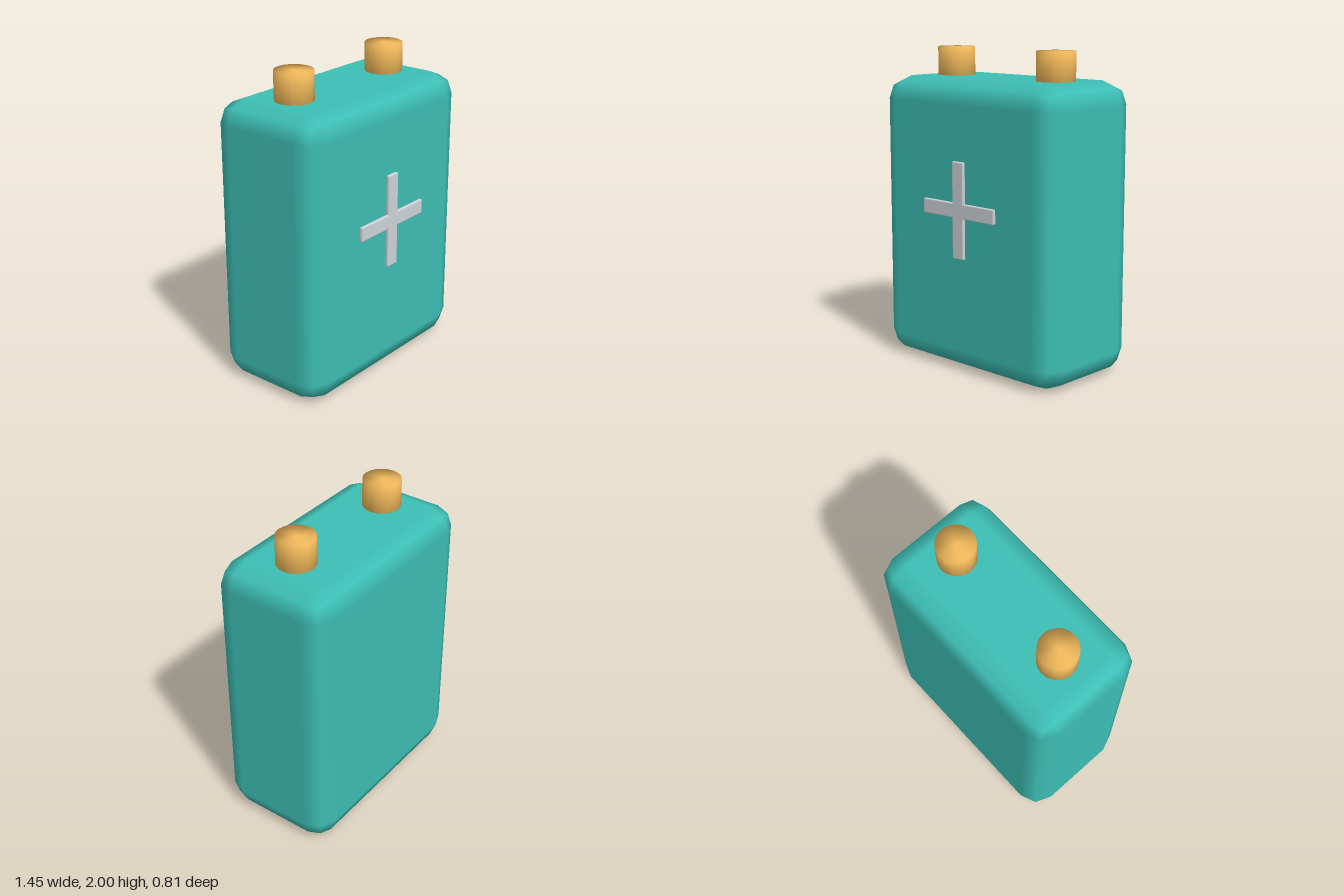
import * as THREE from 'three';
import { mergeVertices } from 'three/addons/utils/BufferGeometryUtils.js';
import { RoundedBoxGeometry } from 'three/addons/geometries/RoundedBoxGeometry.js';

const teal = new THREE.MeshStandardMaterial({ color: 0x3dbfb5 });
const brass = new THREE.MeshStandardMaterial({ color: 0xf5bc5c });
const silver = new THREE.MeshStandardMaterial({ color: 0xd0d5da });

function addPart(parent, name, geometry, material, x, y, z) {
  const mesh = new THREE.Mesh(geometry, material);
  mesh.name = name;
  mesh.position.set(x, y, z);
  parent.add(mesh);
  return mesh;
}

// Cylinder with its caps welded to the wall, so shading runs softly over the rims
function softCylinder(radius, height, sides) {
  const geometry = new THREE.CylinderGeometry(radius, radius, height, sides);
  geometry.deleteAttribute('normal');
  geometry.deleteAttribute('uv');
  const welded = mergeVertices(geometry);
  welded.computeVertexNormals();
  return welded;
}

export function createModel() {
  const model = new THREE.Group();
  model.name = 'battery';

  // Case with two facets round each edge
  addPart(model, 'case', new RoundedBoxGeometry(1.45, 1.82, 0.786, 1, 0.145), teal, 0, 0.91, -0.014);

  // Pair of terminals on the top
  const terminal = softCylinder(0.12, 0.19, 20);
  for (const side of [-1, 1]) {
    addPart(model, side > 0 ? 'leftTerminal' : 'rightTerminal', terminal, brass, side * 0.423, 1.905, -0.014);
  }

  // Plus sign on the front, from two crossed bars
  const plus = new THREE.Group();
  plus.name = 'plusSign';
  plus.position.set(0, 1.033, 0.391);
  model.add(plus);
  const bar = new RoundedBoxGeometry(0.604, 0.094, 0.024, 1, 0.008);
  addPart(plus, 'horizontalBar', bar, silver, 0, 0, 0);
  addPart(plus, 'verticalBar', bar, silver, 0, 0, 0).rotation.z = Math.PI / 2;

  return model;
}
